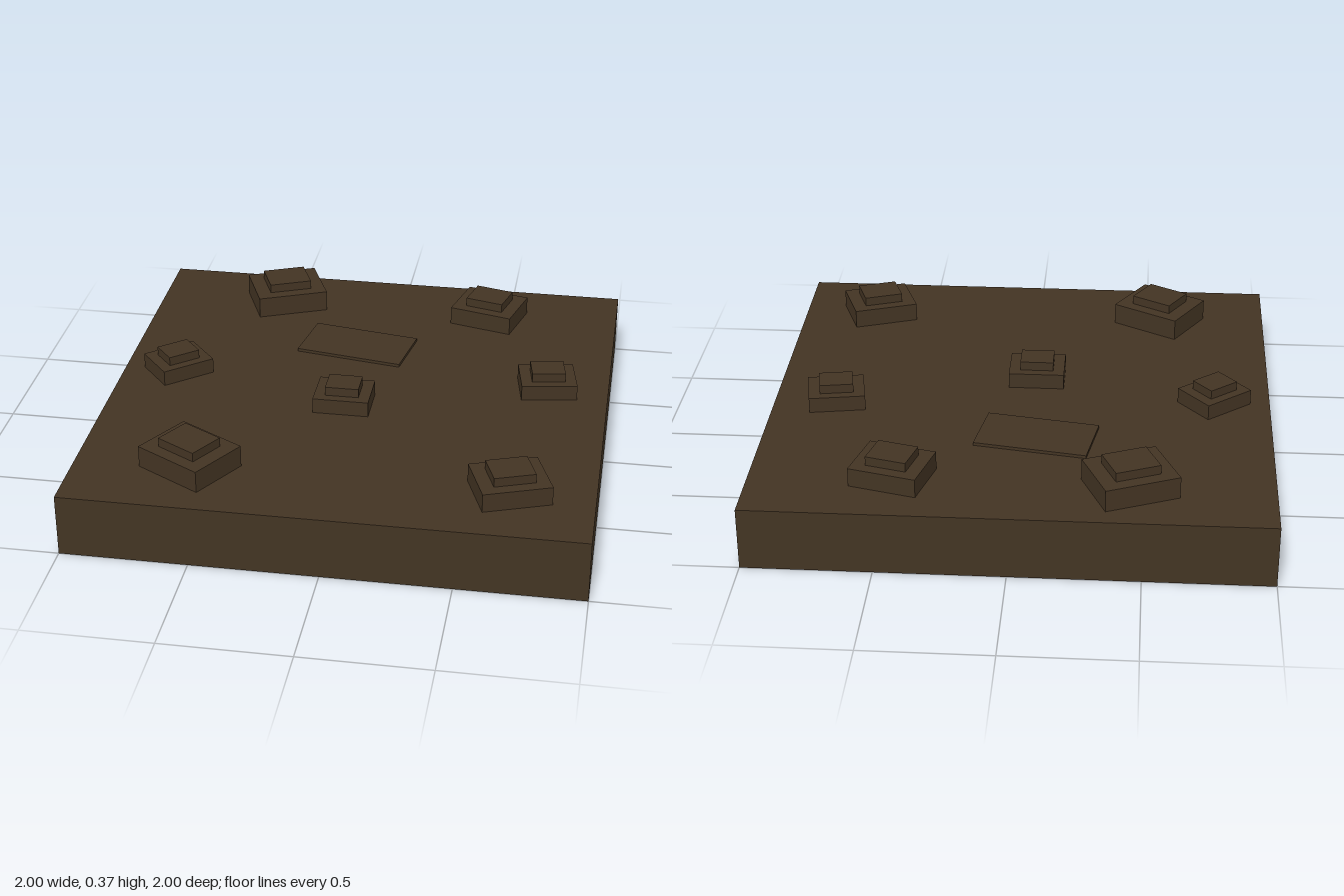
import * as THREE from 'three';

export function createModel() {
  const model = new THREE.Group();
  const earth = new THREE.MeshStandardMaterial({ color: 0x433423 });
  earth.name = 'dark earth';
  const ground = 0.25;

  // Box standing on height y
  function block(name, w, h, d, y, parent) {
    const mesh = new THREE.Mesh(new THREE.BoxGeometry(w, h, d), earth);
    mesh.name = name;
    mesh.position.y = y + h / 2;
    parent.add(mesh);
    return mesh;
  }

  // Ground tile
  block('groundTile', 2, ground, 2, 0, model);

  // Thin flat slab
  const slab = block('flatSlab', 0.45, 0.0125, 0.25, ground, model);
  slab.position.x = -0.075;
  slab.position.z = -0.375;
  slab.rotation.y = -0.17;

  // Two-tier stepped mounds: x, z, turn, size
  const sizes = {
    large: [0.3, 0.0875, 0.25],
    medium: [0.27, 0.075, 0.225],
    small: [0.225, 0.0625, 0.1875],
  };
  const mounds = [
    [-0.45, -0.75, 0.4, 'large'],
    [0.45, -0.725, -0.26, 'medium'],
    [0.75, -0.125, 0.17, 'small'],
    [0.675, 0.7, 0.35, 'medium'],
    [-0.55, 0.7, -0.53, 'large'],
    [-0.775, -0.05, 0.7, 'small'],
    [-0.05, 0.125, 0, 'small'],
  ];
  for (const [x, z, turn, size] of mounds) {
    const [w, h, d] = sizes[size];
    const mound = new THREE.Group();
    mound.name = size + 'Mound';
    mound.position.set(x, ground, z);
    mound.rotation.y = turn;
    block('lowerTier', w, h, d, 0, mound);
    block('upperTier', w * 0.6, 0.0365, d * 0.6, h, mound);
    model.add(mound);
  }
  return model;
}
